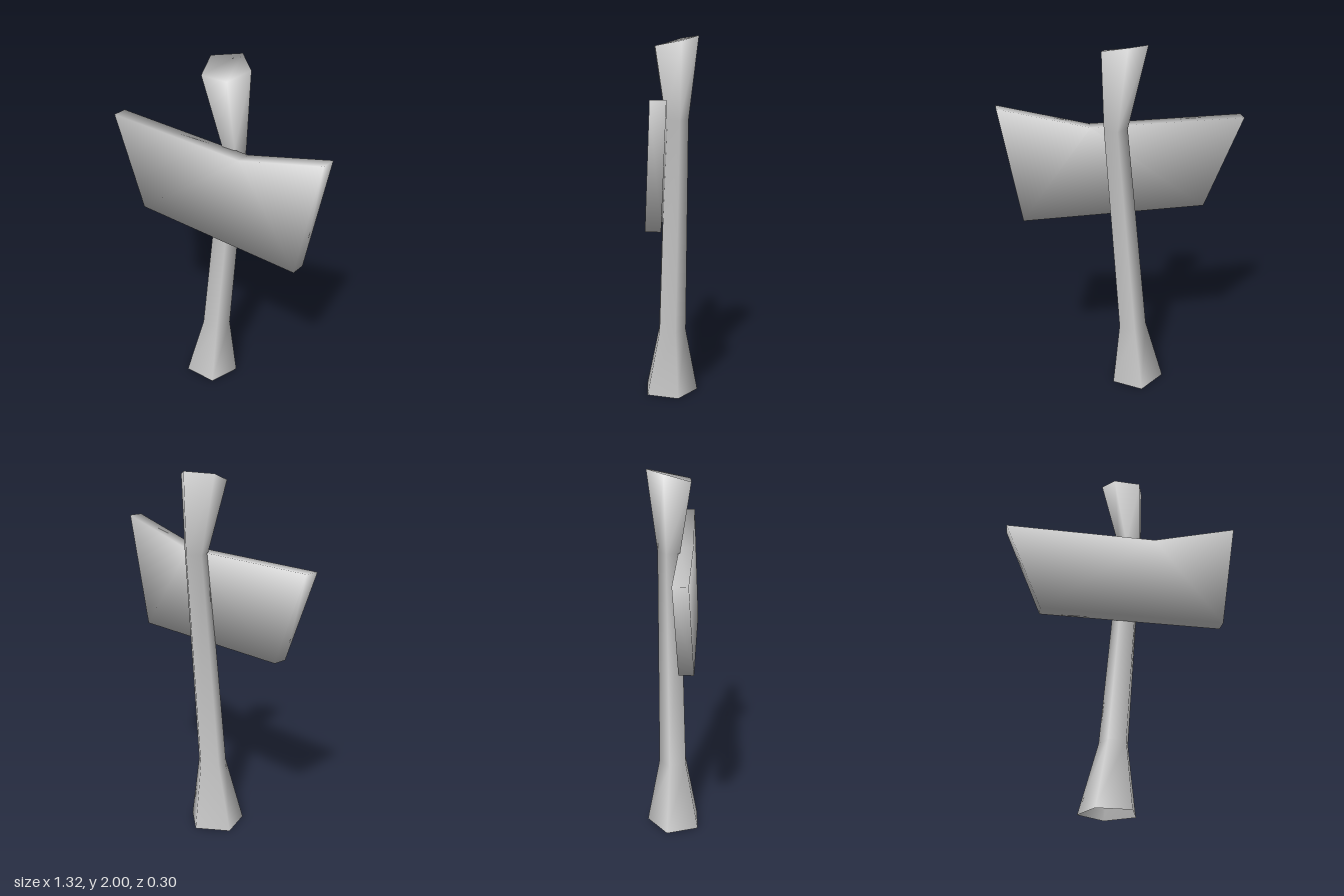
import * as THREE from 'three';

// Loft through rings of equal length; normals are shared and weighted by corner angle.
function loft(rings, capStart, capEnd) {
  const n = rings[0].length;
  const points = rings.flat();
  const index = [];
  for (let r = 0; r < rings.length - 1; r++) {
    for (let i = 0; i < n; i++) {
      const a = r * n + i, b = r * n + (i + 1) % n;
      index.push(a, b, b + n, a, b + n, a + n);
    }
  }
  const last = (rings.length - 1) * n;
  for (let i = 1; i < n - 1; i++) {
    if (capStart) index.push(0, i + 1, i);
    if (capEnd) index.push(last, last + i, last + i + 1);
  }

  const normals = points.map(() => new THREE.Vector3());
  const tri = new THREE.Triangle();
  const face = new THREE.Vector3();
  for (let t = 0; t < index.length; t += 3) {
    const ids = index.slice(t, t + 3);
    tri.set(...ids.map((k) => points[k]));
    tri.getNormal(face);
    ids.forEach((k, j) => {
      const u = points[ids[(j + 1) % 3]].clone().sub(points[k]);
      const v = points[ids[(j + 2) % 3]].clone().sub(points[k]);
      normals[k].addScaledVector(face, u.angleTo(v));
    });
  }
  normals.forEach((v) => v.normalize());

  const geometry = new THREE.BufferGeometry();
  geometry.setAttribute('position', new THREE.Float32BufferAttribute(points.flatMap((p) => p.toArray()), 3));
  geometry.setAttribute('normal', new THREE.Float32BufferAttribute(normals.flatMap((p) => p.toArray()), 3));
  geometry.setIndex(index);
  return geometry;
}

export function createModel() {
  const group = new THREE.Group();
  const grey = new THREE.MeshStandardMaterial({ color: 0xcccccc, side: THREE.DoubleSide });
  grey.name = 'plain grey';

  // Leaning five-sided post, flared at both ends, open underneath
  const pentagon = [[-0.005, -0.16], [-0.155, -0.035], [-0.085, 0.135], [0.1, 0.12], [0.145, -0.055]];
  const slantedTop = [2, 1.99, 1.945, 1.945, 1.97];
  const sections = [
    { x: -0.065, z: 0.01, s: 1, y: 0 },
    { x: -0.037, z: 0, s: 0.52, y: 0.37 },
    { x: 0.06, z: -0.03, s: 0.42, y: 1.56 },
    { x: 0.015, z: -0.02, s: 0.81, y: slantedTop },
  ];
  const postRings = sections.map(({ x, z, s, y }) => pentagon.map(([px, pz], i) =>
    new THREE.Vector3(x + px * s, Array.isArray(y) ? y[i] : y, z + pz * s)));
  const post = new THREE.Mesh(loft(postRings, false, true), grey);
  post.name = 'post';
  group.add(post);

  // Slightly turned and tilted board, listed from its concave top corner
  const outline = [[0.18, 1.56], [-0.663, 1.56], [-0.457, 1.055], [0.553, 1.055], [0.66, 1.69]];
  const boardRings = [0.02, 0.098].map((z) => outline.map(([x, y]) =>
    new THREE.Vector3(x, y, z - 0.0365 * x - 0.045 * (y - 1.5))));
  const board = new THREE.Mesh(loft(boardRings, true, true), grey);
  board.name = 'signBoard';
  group.add(board);

  return group;
}
